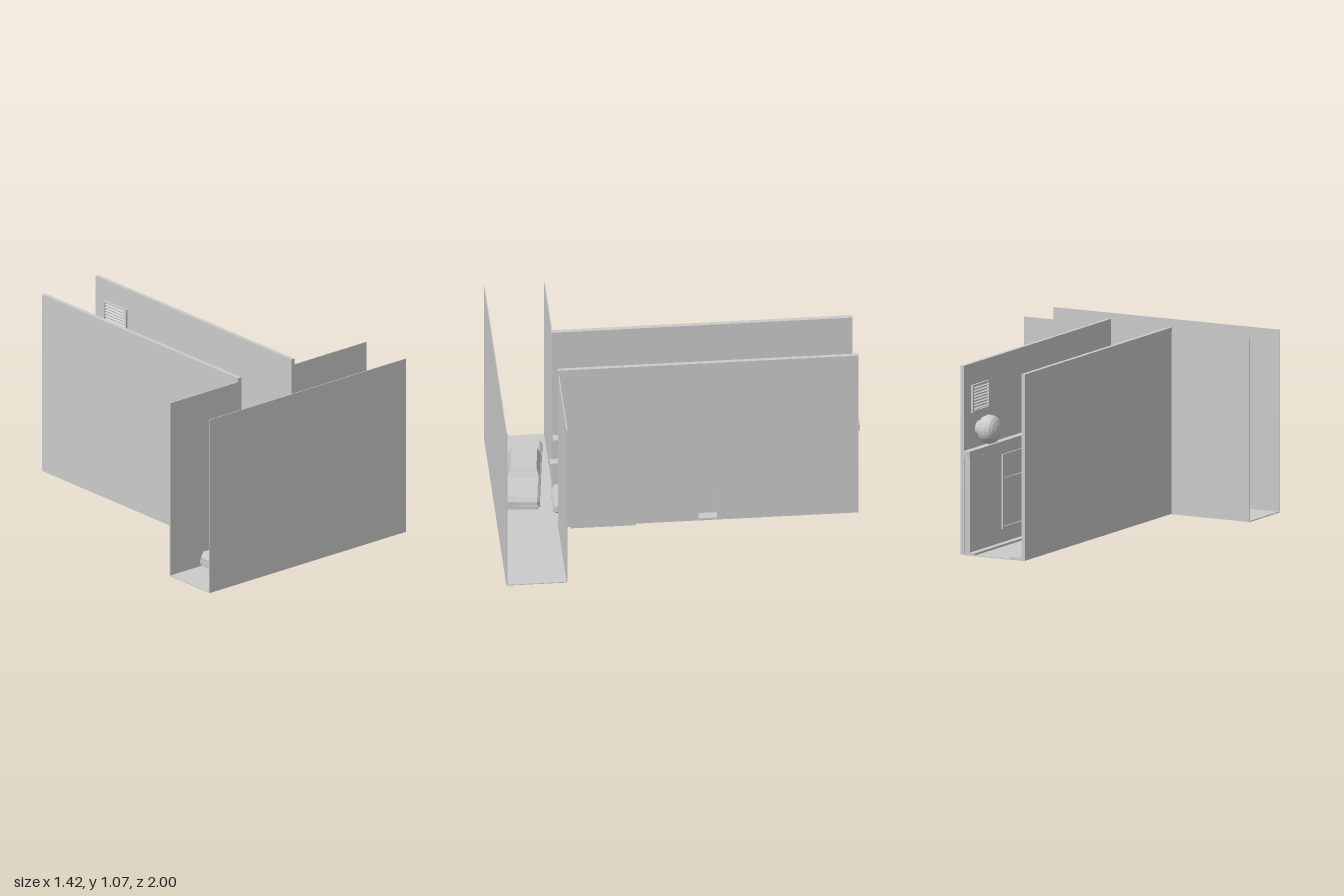
import * as THREE from 'three';

const material = new THREE.MeshStandardMaterial({ color: 0xcccccc, flatShading: true, side: THREE.DoubleSide });

function add(parent, name, geometry) {
  const mesh = new THREE.Mesh(geometry, material);
  mesh.name = name;
  parent.add(mesh);
  return mesh;
}

// Box given by its limits on each axis
function block(parent, name, x0, x1, y0, y1, z0, z1) {
  const mesh = add(parent, name, new THREE.BoxGeometry(x1 - x0, y1 - y0, z1 - z0));
  mesh.position.set((x0 + x1) / 2, (y0 + y1) / 2, (z0 + z1) / 2);
  return mesh;
}

// Wall in the z-y plane with rectangular openings [z0, z1, y0, y1]
function holedWall(parent, name, x0, x1, y0, y1, z0, z1, holes) {
  const rect = (P, a, b, c, d) => new P([[a, c], [b, c], [b, d], [a, d]].map(p => new THREE.Vector2(-p[0], p[1])));
  const shape = rect(THREE.Shape, z0, z1, y0, y1);
  for (const h of holes) shape.holes.push(rect(THREE.Path, ...h));
  const g = new THREE.ExtrudeGeometry(shape, { depth: x1 - x0, bevelEnabled: false });
  g.rotateY(Math.PI / 2);
  g.translate(x0, 0, 0);
  return add(parent, name, g);
}

// Saloon car facing +z, standing on y = 0
function makeCar(name) {
  const car = new THREE.Group();
  car.name = name;
  const b = 0.014;
  const side = new THREE.Shape([
    [-0.27, 0.038], [0.27, 0.038], [0.271, 0.07], [0.262, 0.086], [0.1, 0.093], [-0.14, 0.093], [-0.262, 0.088], [-0.271, 0.07],
  ].map(p => new THREE.Vector2(-p[0], p[1])));
  const body = new THREE.ExtrudeGeometry(side, {
    depth: 0.19 - 2 * b, bevelThickness: b, bevelSize: b, bevelSegments: 1,
  });
  body.rotateY(Math.PI / 2);
  body.translate(-0.095 + b, 0, 0);
  add(car, 'carBody', body);

  // Cabin narrows towards the roof, with a sloping windscreen and rear window
  const cabin = new THREE.BoxGeometry(0.178, 0.055, 0.24);
  const p = cabin.attributes.position;
  for (let i = 0; i < p.count; i++) {
    if (p.getY(i) > 0) {
      p.setX(i, p.getX(i) * 0.8);
      p.setZ(i, p.getZ(i) > 0 ? 0.09 : -0.1);
    }
  }
  cabin.translate(0, 0.1275, -0.025);
  cabin.computeVertexNormals();
  add(car, 'carCabin', cabin);

  for (const x of [-0.075, 0.075]) {
    for (const z of [-0.165, 0.165]) {
      const wheel = add(car, 'wheel', new THREE.CylinderGeometry(0.032, 0.032, 0.022, 16));
      wheel.rotation.z = Math.PI / 2;
      wheel.position.set(x, 0.032, z);
    }
  }
  block(car, 'frontBumper', -0.088, 0.088, 0.035, 0.055, 0.27, 0.288);
  block(car, 'rearBumper', -0.088, 0.088, 0.035, 0.055, -0.288, -0.27);
  return car;
}

export function createModel() {
  const model = new THREE.Group();
  model.name = 'alley';

  // Ground
  block(model, 'streetFloor', -0.71, 0.71, 0.007, 0.012, 0.665, 1);
  block(model, 'alleyFloor', -0.2, 0.17, 0.007, 0.012, -0.99, 0.665);
  block(model, 'leftKerb', 0.095, 0.13, 0.012, 0.024, -0.99, 0.66);
  block(model, 'rightKerb', -0.197, -0.12, 0.012, 0.024, -0.99, 0.66);

  // Street walls
  block(model, 'streetFrontWall', -0.71, 0.71, 0.01, 1.03, 0.995, 1);
  block(model, 'streetBackWallLeft', 0.185, 0.71, 0.01, 1.03, 0.662, 0.668);
  block(model, 'streetBackWallRight', -0.71, -0.215, 0.01, 1.03, 0.662, 0.668);

  // Alley walls, the left one with a doorway
  const door = [-0.21, -0.105, 0.024, 0.248];
  block(model, 'rightAlleyWall', -0.22, -0.196, 0.01, 1.052, -0.99, 0.668);
  holedWall(model, 'leftAlleyWall', 0.166, 0.187, 0.01, 1.065, -0.99, 0.668, [door]);
  holedWall(model, 'lowerLeftWall', 0.13, 0.166, 0.01, 0.55, -0.985, 0.66, [door]);
  block(model, 'door', 0.13, 0.136, door[2], door[3], door[0], door[1]);
  block(model, 'ledge', 0.125, 0.175, 0.552, 0.59, -1, 0.695);

  // Window on the lower wall
  const win = new THREE.Group();
  win.name = 'wallWindow';
  model.add(win);
  for (const y of [0.1, 0.37, 0.505]) block(win, 'windowRail', 0.122, 0.131, y, y + 0.012, -0.63, -0.35);
  for (const z of [-0.63, -0.362]) block(win, 'windowPost', 0.122, 0.131, 0.1, 0.517, z, z + 0.012);

  // Slatted vent near the back
  const vent = new THREE.Group();
  vent.name = 'vent';
  model.add(vent);
  for (const y of [0.79, 0.935]) block(vent, 'ventRail', 0.154, 0.167, y, y + 0.01, -0.91, -0.72);
  for (const z of [-0.91, -0.73]) block(vent, 'ventPost', 0.154, 0.167, 0.79, 0.945, z, z + 0.01);
  for (let i = 0; i < 8; i++) {
    const slat = block(vent, 'ventSlat', 0.155, 0.167, 0.806 + i * 0.0165, 0.81 + i * 0.0165, -0.9, -0.73);
    slat.rotation.z = 0.5;
  }

  // Domed exhaust fan on the wall
  const profile = [[0, 0], [0.03, 0.002], [0.055, 0.012], [0.072, 0.026], [0.08, 0.05], [0.08, 0.075],
    [0.07, 0.095], [0.045, 0.1], [0.045, 0.128]].map(p => new THREE.Vector2(...p));
  const fan = add(model, 'exhaustFan', new THREE.LatheGeometry(profile, 24));
  fan.rotation.z = -Math.PI / 2;
  fan.position.set(0.04, 0.69, -0.82);

  // Grated balcony above the ledge
  const balcony = new THREE.Group();
  balcony.name = 'balcony';
  model.add(balcony);
  for (const x of [0.045, 0.158]) block(balcony, 'balconyBeam', x, x + 0.008, 0.61, 0.625, 0.06, 0.655);
  for (let i = 0; i < 25; i++) {
    const z = 0.06 + i * 0.0242;
    block(balcony, 'grateBar', 0.045, 0.166, 0.617, 0.625, z, z + 0.014);
  }
  block(balcony, 'handrail', 0.045, 0.053, 0.715, 0.723, 0.06, 0.655);
  for (let i = 0; i < 6; i++) {
    const z = 0.06 + i * 0.1174;
    block(balcony, 'railPost', 0.045, 0.053, 0.62, 0.72, z, z + 0.008);
  }

  // Low bin against the right wall and footings under both walls
  block(model, 'bin', -0.193, -0.155, 0.01, 0.19, 0.315, 0.672);
  block(model, 'binLid', -0.197, -0.15, 0.19, 0.203, 0.31, 0.683);
  block(model, 'rightFooting', -0.193, -0.15, 0, 0.012, 0.24, 0.6);
  block(model, 'leftFooting', 0.13, 0.187, 0, 0.012, 0.24, 0.6);

  // Cars
  const parked = makeCar('parkedCar');
  parked.position.set(-0.015, 0, 0.395);
  model.add(parked);
  const passing = makeCar('streetCar');
  passing.position.set(-0.247, 0.012, 0.82);
  passing.rotation.y = THREE.MathUtils.degToRad(83.5);
  model.add(passing);

  return model;
}
